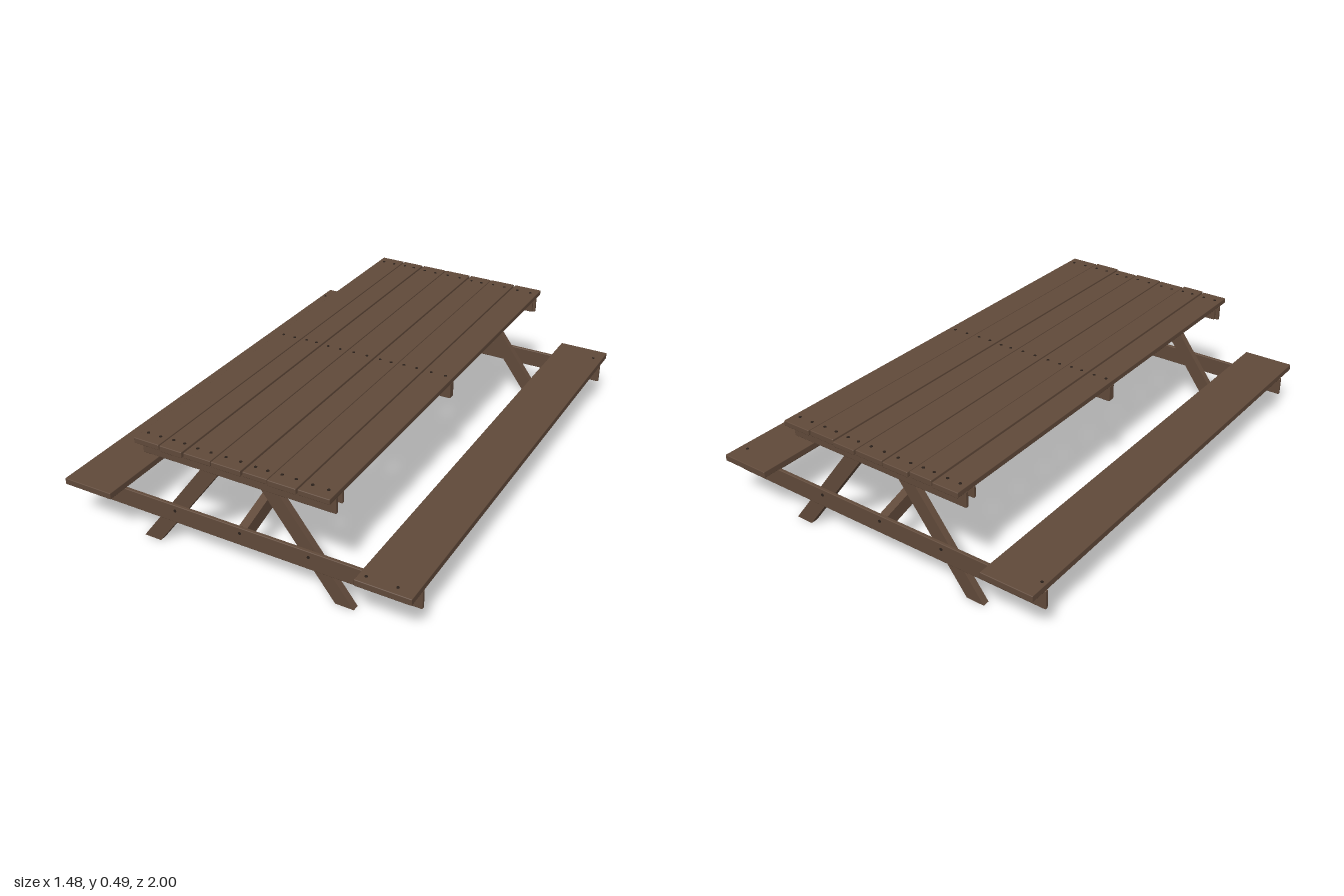
import * as THREE from 'three';
import { RoundedBoxGeometry } from 'three/addons/geometries/RoundedBoxGeometry.js';

export function createModel() {
  const model = new THREE.Group();
  model.name = 'picnicTable';
  const wood = new THREE.MeshStandardMaterial({ color: 0x614a3a });
  wood.name = 'brownWood';
  const iron = new THREE.MeshStandardMaterial({ color: 0x2b211b });
  iron.name = 'darkFastener';

  const add = (name, geometry, material = wood) => {
    const mesh = new THREE.Mesh(geometry, material);
    mesh.name = name;
    model.add(mesh);
    return mesh;
  };
  // Board given by its limits on each axis
  const board = (name, x0, x1, y0, y1, z0, z1) => {
    const size = [x1 - x0, y1 - y0, z1 - z0];
    const mesh = add(name, new RoundedBoxGeometry(...size, 2, 0.003));
    mesh.position.set((x0 + x1) / 2, (y0 + y1) / 2, (z0 + z1) / 2);
    return mesh;
  };
  // Slanted board: a four-sided outline given a thickness
  const slanted = (name, points, depth) => {
    const shape = new THREE.Shape(points.map(([a, b]) => new THREE.Vector2(a, b)));
    const geometry = new THREE.ExtrudeGeometry(shape, { depth, bevelEnabled: false });
    geometry.translate(0, 0, -depth / 2);
    return add(name, geometry);
  };
  const boltGeometry = new THREE.CylinderGeometry(0.006, 0.006, 0.006, 8);
  const bolt = (name, x, y, z, facing = 0) => {
    const mesh = add(name, boltGeometry, iron);
    mesh.position.set(x, y, z);
    mesh.rotation.x = facing * Math.PI / 2;
  };

  // Table top: seven planks, slightly uneven in length and height
  const planks = [
    [-0.41, -0.30, 0], [-0.293, -0.197, 0.002], [-0.192, -0.078, -0.001], [-0.073, 0.05, 0],
    [0.056, 0.156, -0.002], [0.161, 0.275, 0.001], [0.28, 0.405, -0.001],
  ];
  planks.forEach(([x0, x1, d]) => {
    board('topPlank', x0, x1, 0.466, 0.489 + d, -0.967 + d * 2, 0.956 + d * 2);
    for (const z of [-0.917, -0.008, 0.905]) {
      for (const t of [0.25, 0.75]) bolt('topScrew', x0 + (x1 - x0) * t, 0.488 + d, z);
    }
  });

  // Middle cleat under the top
  board('middleCleat', -0.41, 0.405, 0.402, 0.467, -0.022, 0.01);

  // Benches with a long rail underneath each
  for (const s of [-1, 1]) {
    const x = s * 0.629;
    board('benchSeat', x - 0.109, x + 0.109, 0.206, 0.233, -1, 1);
    board('benchRail', x - 0.018, x + 0.018, 0.13, 0.207, -0.911, 0.9);
  }
  [[0.55, 0.966], [0.67, 0.966], [0.7, -0.92], [-0.72, -0.92]]
    .forEach(([x, z]) => bolt('benchScrew', x, 0.232, z));

  // End frames, front and back
  for (const s of [-1, 1]) {
    const at = (z) => -0.006 + s * z;
    const span = (a, b) => (s > 0 ? [at(a), at(b)] : [at(b), at(a)]);
    board('crossBeam', -0.738, 0.736, 0.126, 0.203, ...span(0.903, 0.918));
    board('topCleat', -0.41, 0.405, 0.403, 0.467, ...span(0.903, 0.918));
    board('innerCleat', -0.41, 0.405, 0.42, 0.467, ...span(0.862, 0.875));

    // Splayed legs, cut level at the foot and the top
    for (const m of [-1, 1]) {
      const outline = [[0.387, 0], [0.463, 0], [0.113, 0.466], [0.037, 0.466]];
      const points = outline.map(([x, y]) => [x * m, y]);
      slanted('leg', points, 0.028).position.z = at(0.889);
    }

    // Bolts through the outer face of the frame
    [[-0.63, 0.156], [-0.63, 0.182], [-0.29, 0.18], [0, 0.18], [0.29, 0.18],
      [0.63, 0.156], [0.63, 0.182], [-0.1, 0.443], [0.08, 0.45]]
      .forEach(([x, y]) => bolt('frameBolt', x * s, y, at(0.918), s));

    // Diagonal brace from the middle cleat down to the cross beam
    const brace = slanted('diagonalBrace',
      [[0, 0.405], [0.905, 0.128], [0.905, 0.19], [0.02, 0.465], [0, 0.465]]
        .map(([z, y]) => [at(z), y]), 0.036);
    brace.rotation.y = -Math.PI / 2;
  }
  return model;
}
